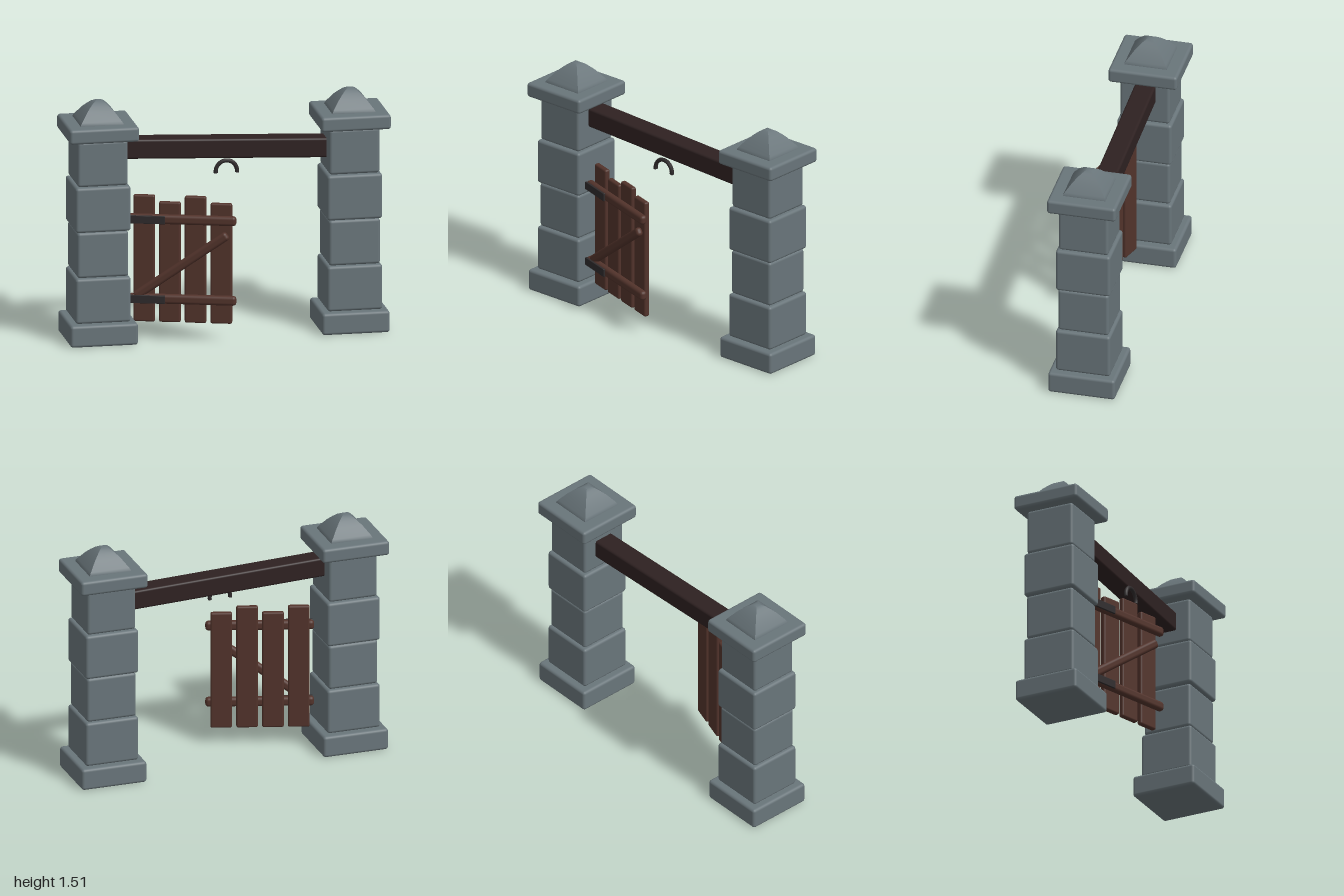
import * as THREE from 'three';
import { RoundedBoxGeometry } from 'three/addons/geometries/RoundedBoxGeometry.js';
import { toCreasedNormals } from 'three/addons/utils/BufferGeometryUtils.js';

const material = (name, color) => {
  const m = new THREE.MeshStandardMaterial({ color });
  m.name = name;
  return m;
};

export function createModel() {
  const stone = material('grey stone', 0x69757a);
  const wood = material('brown wood', 0x52332b);
  const darkWood = material('dark beam wood', 0x2e2121);
  const iron = material('dark iron', 0x2f2b2c);

  const model = new THREE.Group();
  model.name = 'gateway';

  const add = (parent, name, geometry, mat, x, y, z) => {
    const mesh = new THREE.Mesh(geometry, mat);
    mesh.name = name;
    mesh.position.set(x, y, z);
    parent.add(mesh);
    return mesh;
  };
  const rounded = (w, h, d, r) => new RoundedBoxGeometry(w, h, d, 3, r);

  // Stone pillars: [name, width, bottom, top]
  const courses = [
    ['pillarBase', 0.42, 0, 0.136],
    ['pillarBlock1', 0.342, 0.138, 0.422],
    ['pillarBlock2', 0.318, 0.424, 0.71],
    ['pillarBlock3', 0.342, 0.712, 0.996],
    ['pillarBlock4', 0.313, 0.998, 1.282],
    ['pillarCap', 0.432, 1.284, 1.376],
  ];
  // Domed pyramid profile: half width and height
  const finialProfile = [
    [0.134, 1.37], [0.133, 1.382], [0.124, 1.397], [0.084, 1.45],
    [0.058, 1.477], [0.036, 1.496], [0.018, 1.506], [0, 1.511],
  ].map(([r, y]) => new THREE.Vector2(r * Math.SQRT2, y));
  const finialGeometry = toCreasedNormals(
    new THREE.LatheGeometry(finialProfile, 4, Math.PI / 4), 0.7);

  for (const side of [-1, 1]) {
    const pillar = new THREE.Group();
    pillar.name = side < 0 ? 'rightPillar' : 'leftPillar';
    pillar.position.set(side * 0.783, 0, -0.045);
    for (const [name, width, bottom, top] of courses) {
      add(pillar, name, rounded(width, top - bottom, width, 0.018), stone, 0, (bottom + top) / 2, 0);
    }
    add(pillar, 'pillarFinial', finialGeometry, stone, 0, 0, 0);
    model.add(pillar);
  }

  // Sagging crossbeam between the pillars
  const beam = add(model, 'crossbeam', rounded(1.4, 0.123, 0.13, 0.014), darkWood, 0, 1.173, -0.048);
  beam.rotation.z = -0.042;

  // Horseshoe-like iron hook under the beam
  const arc = Math.PI * 1.1;
  const hook = add(model, 'ironHook', new THREE.TorusGeometry(0.066, 0.013, 8, 24, arc), iron, 0, 1.037, 0.03);
  hook.rotation.z = (Math.PI - arc) / 2;
  for (const end of [0, arc]) {
    const cap = add(hook, 'hookEnd', new THREE.CircleGeometry(0.013, 8), iron,
      0.066 * Math.cos(end), 0.066 * Math.sin(end), 0);
    cap.rotation.set(Math.PI / 2, end, 0, 'ZXY');
    cap.rotation.set(end === 0 ? Math.PI / 2 : -Math.PI / 2, 0, end, 'ZXY');
  }

  // Gate leaf, ajar about its hinge side
  const gate = new THREE.Group();
  gate.name = 'gate';
  gate.position.set(-0.6, 0, -0.005);
  gate.rotation.y = -0.31;
  model.add(gate);

  for (let i = 0; i < 4; i++) {
    const top = i % 2 ? 0.872 : 0.912;
    add(gate, 'plank', rounded(0.133, top - 0.113, 0.036, 0.012), wood,
      0.095 + i * 0.158, (top + 0.113) / 2, 0);
  }

  // Rails with iron hinge straps
  for (const y of [0.77, 0.267]) {
    add(gate, 'rail', rounded(0.665, 0.06, 0.046, 0.02), wood, 0.333, y, 0.037);
    add(gate, 'hingeStrap', rounded(0.222, 0.05, 0.014, 0.003), iron, 0.12, y, 0.064);
  }

  // Diagonal brace
  const from = new THREE.Vector2(0.04, 0.277);
  const to = new THREE.Vector2(0.612, 0.682);
  const brace = add(gate, 'brace', rounded(from.distanceTo(to), 0.056, 0.044, 0.02), wood,
    (from.x + to.x) / 2, (from.y + to.y) / 2, 0.037);
  brace.rotation.z = to.clone().sub(from).angle();

  return model;
}
